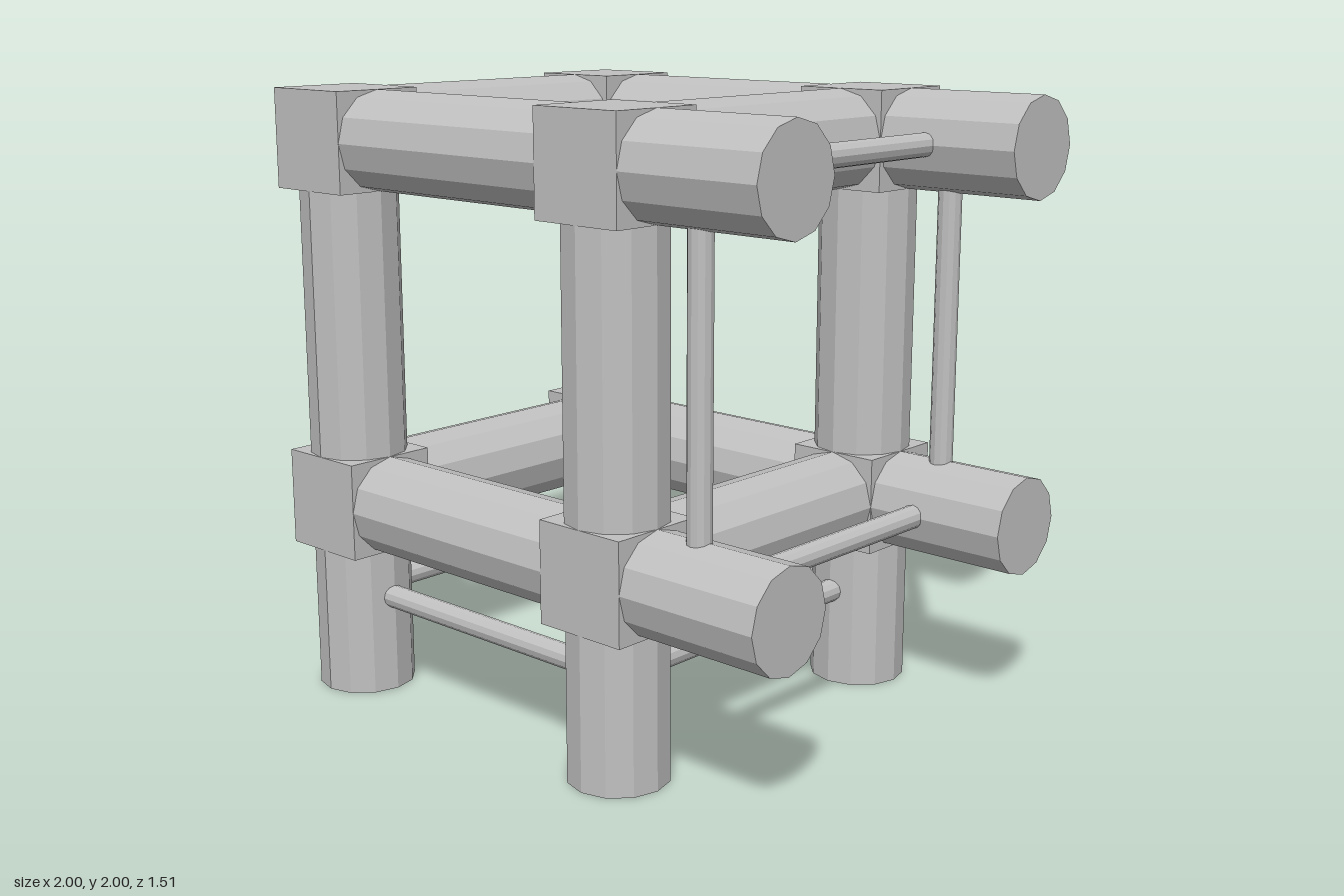
import * as THREE from 'three';

const R = 0.16, ROD = 0.038;
const XS = [-0.84, 0.355], YS = [0.648, 1.84], ZS = [-0.595, 0.595];
const ROD_X = 0.675, LOW_Y = 0.325;

export function createModel() {
  const model = new THREE.Group();
  model.name = 'beamFrame';
  const grey = new THREE.MeshStandardMaterial({ color: 0xc0c0c0, flatShading: true });
  grey.name = 'grey';

  // Twelve-sided bar between two points
  function bar(name, r, a, b) {
    const from = new THREE.Vector3(...a), to = new THREE.Vector3(...b);
    const dir = to.clone().sub(from);
    const mesh = new THREE.Mesh(new THREE.CylinderGeometry(r, r, dir.length(), 12), grey);
    mesh.position.copy(from).add(to).multiplyScalar(0.5);
    mesh.quaternion.setFromUnitVectors(new THREE.Vector3(0, 1, 0), dir.normalize());
    mesh.name = name;
    model.add(mesh);
  }

  // Cube joints
  for (const x of XS) for (const y of YS) for (const z of ZS) {
    const joint = new THREE.Mesh(new THREE.BoxGeometry(2 * R, 2 * R, 2 * R), grey);
    joint.position.set(x, y, z);
    joint.name = 'cubeJoint';
    model.add(joint);
  }

  // Legs and upper posts
  for (const x of XS) for (const z of ZS) {
    bar('leg', R, [x, 0, z], [x, YS[0] - R, z]);
    bar('upperPost', R, [x, YS[0] + R, z], [x, YS[1] - R, z]);
  }

  for (const y of YS) {
    // Long beams with overhanging ends
    for (const z of ZS) {
      bar('longBeam', R, [XS[0] + R, y, z], [XS[1] - R, y, z]);
      bar('overhangBeam', R, [XS[1] + R, y, z], [1, y, z]);
    }
    // Cross beams and the thin rods between the overhangs
    for (const x of XS) bar('crossBeam', R, [x, y, ZS[0] + R], [x, y, ZS[1] - R]);
    bar('crossRod', ROD, [ROD_X, y, ZS[0] + R - 0.01], [ROD_X, y, ZS[1] - R + 0.01]);
  }

  // Thin upright rods, and stretchers between the legs
  for (const z of ZS) {
    bar('uprightRod', ROD, [ROD_X, YS[0] + R - 0.01, z], [ROD_X, YS[1] - R + 0.01, z]);
    bar('longStretcher', ROD, [XS[0] + R - 0.01, LOW_Y, z], [XS[1] - R + 0.01, LOW_Y, z]);
  }
  for (const x of XS) {
    bar('crossStretcher', ROD, [x, LOW_Y, ZS[0] + R - 0.01], [x, LOW_Y, ZS[1] - R + 0.01]);
  }
  return model;
}
